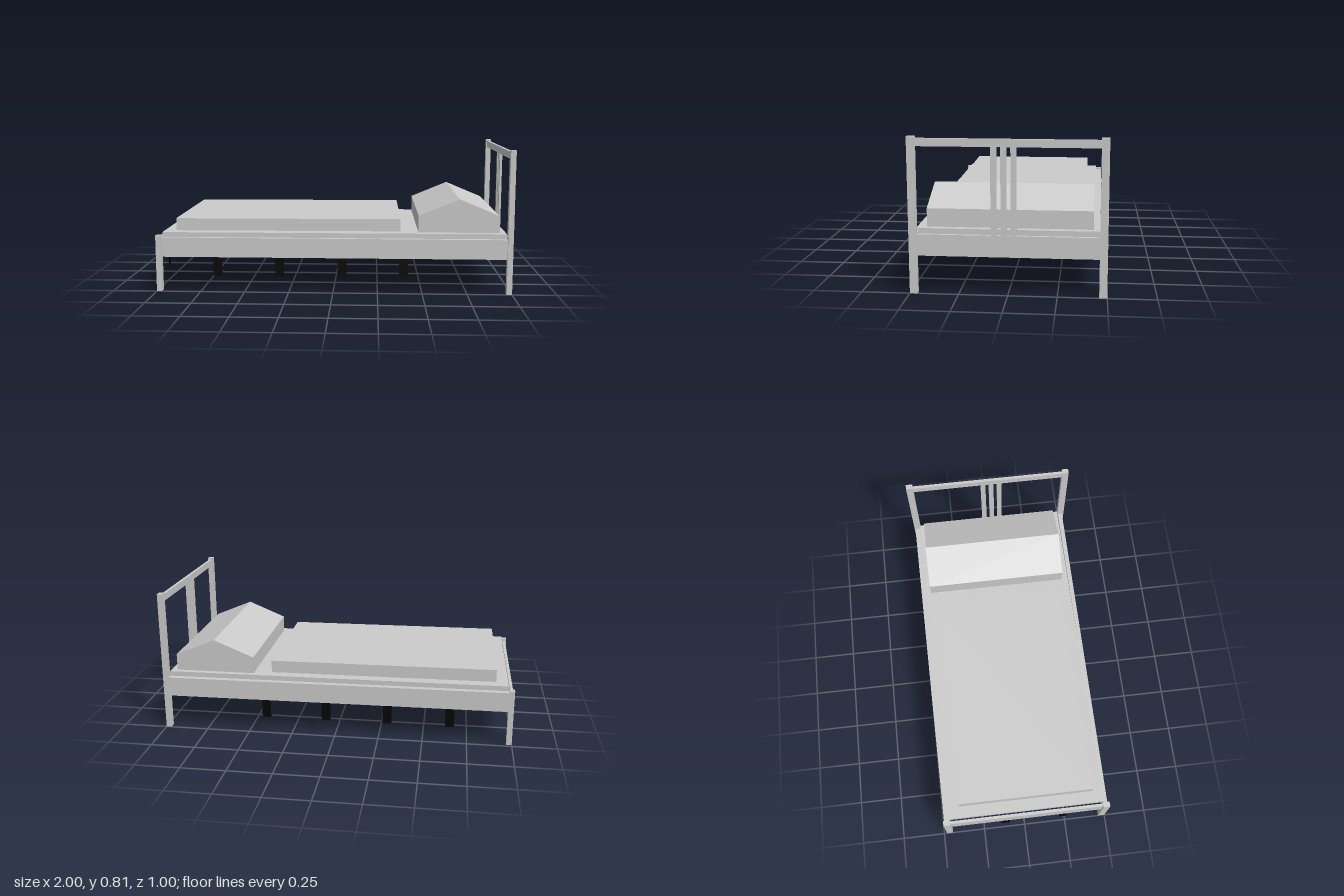
import * as THREE from 'three';

const grey = new THREE.MeshStandardMaterial({ color: 0xcccccc, flatShading: true });
const black = new THREE.MeshStandardMaterial({ color: 0x050505, side: THREE.DoubleSide });

export function createModel() {
  const bed = new THREE.Group();
  bed.name = 'bed';

  const add = (name, geometry, material = grey) => {
    const mesh = new THREE.Mesh(geometry, material);
    mesh.name = name;
    bed.add(mesh);
    return mesh;
  };

  // Straight block given by its limits on each axis
  const block = (name, x0, x1, y0, y1, z0, z1) =>
    add(name, new THREE.BoxGeometry(x1 - x0, y1 - y0, z1 - z0))
      .position.set((x0 + x1) / 2, (y0 + y1) / 2, (z0 + z1) / 2);

  // Tapered panel: z limits differ at the foot end (x0) and head end (x1)
  const panel = (name, x0, x1, y0, y1, foot, head) => {
    const shape = new THREE.Shape([
      new THREE.Vector2(x0, -foot[1]), new THREE.Vector2(x1, -head[1]),
      new THREE.Vector2(x1, -head[0]), new THREE.Vector2(x0, -foot[0]),
    ]);
    const g = new THREE.ExtrudeGeometry(shape, { depth: y1 - y0, bevelEnabled: false });
    add(name, g.rotateX(-Math.PI / 2).translate(0, y0, 0));
  };

  // Corner posts
  block('headPostLeft', 0.97, 1, 0, 0.805, 0.46, 0.5);
  block('headPostRight', 0.97, 1, 0, 0.805, -0.5, -0.46);
  block('footPostLeft', -1, -0.97, 0, 0.32, 0.46, 0.5);
  block('footPostRight', -1, -0.97, 0, 0.32, -0.483, -0.445);

  // Headboard: rails and three slats
  block('headTopRail', 0.975, 0.992, 0.755, 0.795, -0.46, 0.46);
  block('headBottomRail', 0.975, 0.992, 0.197, 0.308, -0.46, 0.46);
  for (const z of [0.07, 0.02, -0.03])
    block('headSlat', 0.977, 0.99, 0.308, 0.755, z - 0.015, z + 0.015);

  // Footboard and side rails
  block('footRail', -0.992, -0.975, 0.197, 0.308, -0.445, 0.46);
  panel('frontRail', -0.97, 0.97, 0.197, 0.308, [0.468, 0.488], [0.463, 0.49]);
  panel('backRail', -0.97, 0.97, 0.197, 0.308, [-0.478, -0.446], [-0.495, -0.463]);

  // Mattress base and cover
  panel('mattress', -0.967, 0.97, 0.302, 0.335, [-0.445, 0.468], [-0.461, 0.455]);
  panel('cover', -0.9, 0.38, 0.335, 0.405, [-0.382, 0.405], [-0.397, 0.388]);

  // Pillow with a ridged top
  const profile = new THREE.Shape([
    [0.48, 0.335], [0.935, 0.335], [0.935, 0.43], [0.708, 0.525], [0.48, 0.43],
  ].map(([x, y]) => new THREE.Vector2(x, y)));
  add('pillow', new THREE.ExtrudeGeometry(profile, { depth: 0.845, bevelEnabled: false })
    .translate(0, 0, -0.428));

  // Flat black support strips under the side rails and the foot rail
  const strip = () => new THREE.PlaneGeometry(0.05, 0.107);
  for (const x of [-0.65, -0.3, 0.05, 0.395]) {
    add('frontSupport', strip(), black).position.set(x, 0.145, 0.488);
    add('backSupport', strip(), black).position.set(x, 0.145, -0.486);
  }
  for (const z of [0.232, -0.117]) {
    const s = add('footSupport', strip(), black);
    s.rotation.y = -Math.PI / 2;
    s.position.set(-0.99, 0.145, z);
  }
  return bed;
}
